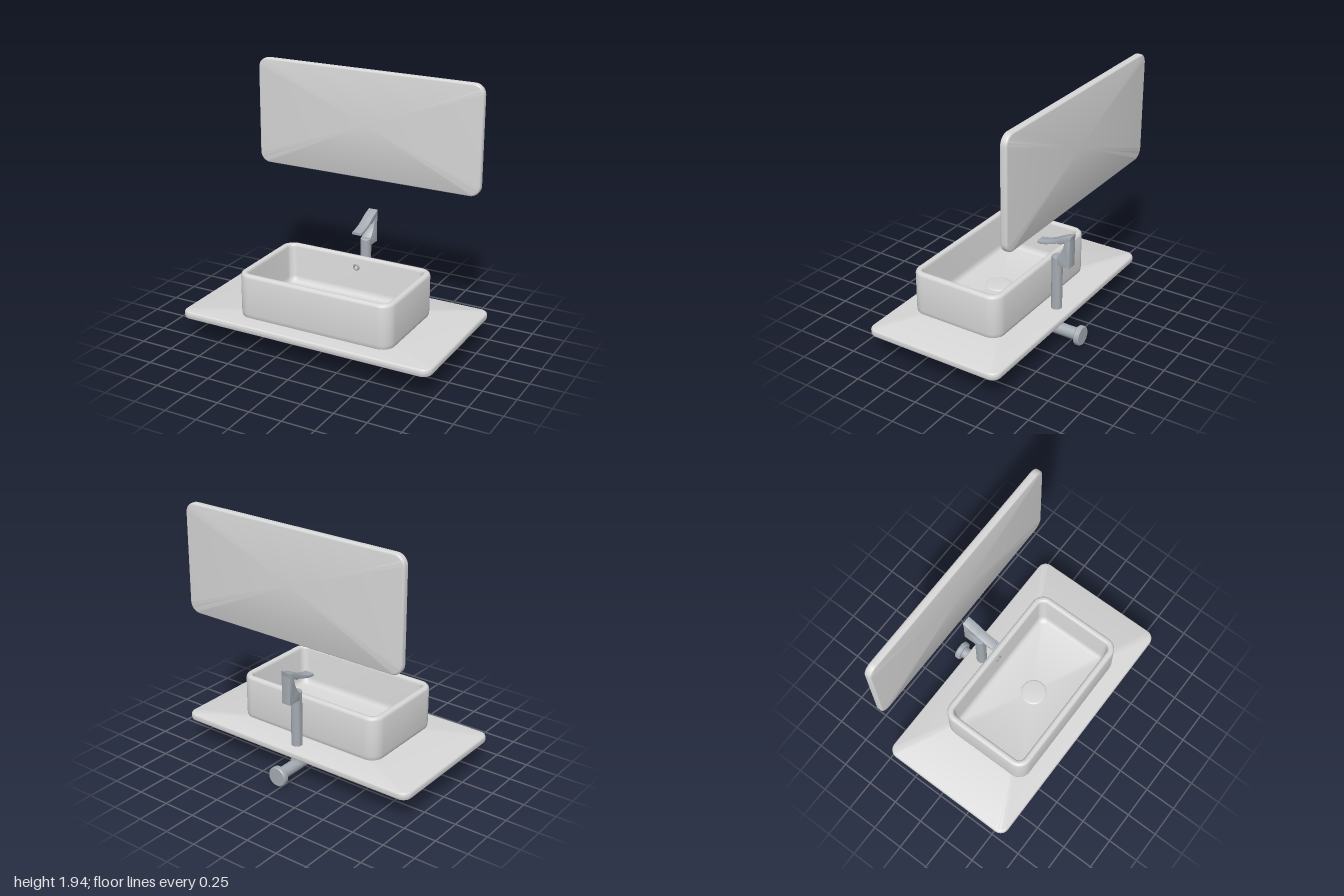
import * as THREE from 'three';
import { toCreasedNormals } from 'three/addons/utils/BufferGeometryUtils.js';

const ceramic = new THREE.MeshStandardMaterial({ color: 0xd6d6d6 });
ceramic.name = 'paleGrey';
const metal = new THREE.MeshStandardMaterial({ color: 0xa4abb2 });
metal.name = 'steelGrey';

// Points of a rounded rectangle in the xz plane
function ring([x0, x1, z0, z1, r, y]) {
  const pts = [], n = 8;
  const corners = [[x1 - r, z1 - r], [x0 + r, z1 - r], [x0 + r, z0 + r], [x1 - r, z0 + r]];
  corners.forEach(([cx, cz], q) => {
    for (let i = 0; i <= n; i++) {
      const a = (q + i / n) * Math.PI / 2;
      pts.push([cx + r * Math.cos(a), y, cz + r * Math.sin(a)]);
    }
  });
  return pts;
}

// Closed skin through a list of rounded rectangles, capped at both ends
function loft(sections) {
  const rings = sections.map(ring), n = rings[0].length;
  const pos = rings.flat(2), idx = [];
  for (let i = 0; i < rings.length - 1; i++) {
    for (let j = 0; j < n; j++) {
      const a = i * n + j, b = i * n + (j + 1) % n;
      idx.push(a, a + n, b, b, a + n, b + n);
    }
  }
  const addCap = (s, base, top) => {
    const c = pos.length / 3;
    pos.push((s[0] + s[1]) / 2, s[5], (s[2] + s[3]) / 2);
    for (let j = 0; j < n; j++) {
      const a = base + j, b = base + (j + 1) % n;
      if (top) idx.push(c, b, a); else idx.push(c, a, b);
    }
  };
  addCap(sections[0], 0, false);
  addCap(sections[sections.length - 1], (rings.length - 1) * n, true);
  const g = new THREE.BufferGeometry();
  g.setAttribute('position', new THREE.Float32BufferAttribute(pos, 3));
  g.setIndex(idx);
  return toCreasedNormals(g, 0.7);
}

// Slab with softly rounded edges
function slab(x0, x1, z0, z1, r, y0, y1, e) {
  const sec = (inset, y) => [x0 + inset, x1 - inset, z0 + inset, z1 - inset, r - inset, y];
  const s = [];
  for (let i = 0; i <= 4; i++) {
    const a = i / 4 * Math.PI / 2;
    s.push(sec(e * (1 - Math.sin(a)), y0 + e * (1 - Math.cos(a))));
  }
  for (let i = 0; i <= 4; i++) {
    const a = i / 4 * Math.PI / 2;
    s.push(sec(e * (1 - Math.cos(a)), y1 - e * (1 - Math.sin(a))));
  }
  return loft(s);
}

// Side profile in (z, y), extruded across x
function sideExtrude(shape, x0, x1) {
  const g = new THREE.ExtrudeGeometry(shape, {
    depth: x1 - x0 - 0.008, curveSegments: 10,
    bevelEnabled: true, bevelThickness: 0.004, bevelSize: 0.004, bevelOffset: -0.004, bevelSegments: 2,
  });
  g.rotateY(-Math.PI / 2);
  g.translate(x1 - 0.004, 0, 0);
  return toCreasedNormals(g, 0.6);
}

export function createModel() {
  const model = new THREE.Group();
  model.name = 'washbasinSet';
  const add = (name, geo, mat, x = 0, y = 0, z = 0) => {
    const m = new THREE.Mesh(geo, mat);
    m.name = name;
    m.position.set(x, y, z);
    model.add(m);
    return m;
  };

  // Wall mirror and counter top
  const mirror = slab(-0.95, 0.89, -1.945, -1.115, 0.08, -0.512, -0.457, 0.015);
  mirror.rotateX(Math.PI / 2);
  add('mirror', mirror, ceramic);
  add('counterTop', slab(-1, 1, -0.49, 0.605, 0.07, 0.19, 0.248, 0.018), ceramic);

  // Basin: outer wall, rolled rim, inner wall and floor
  const X0 = -0.59, X1 = 0.645, Z0 = -0.267, Z1 = 0.478;
  const profile = [ // inset, corner radius, height
    [0.012, 0.088, 0.24], [0.003, 0.097, 0.255], [0, 0.1, 0.28], [0, 0.1, 0.56],
    [0.004, 0.096, 0.573], [0.012, 0.088, 0.581], [0.022, 0.078, 0.584], [0.034, 0.066, 0.584],
    [0.043, 0.057, 0.581], [0.049, 0.052, 0.573], [0.052, 0.05, 0.56], [0.062, 0.055, 0.33],
    [0.067, 0.055, 0.305], [0.08, 0.05, 0.288], [0.1, 0.045, 0.28],
  ];
  add('basin', loft(profile.map(([i, r, y]) => [X0 + i, X1 - i, Z0 + i, Z1 - i, r, y])), ceramic);

  // Drain plug and overflow ring
  const plug = [[0, 0.012], [0.085, 0.01], [0.098, 0.005], [0.1, 0]];
  add('drainPlug', new THREE.LatheGeometry(
    plug.map(([r, y]) => new THREE.Vector2(r, y)).reverse(), 40), ceramic, 0.035, 0.28, 0.125);
  add('overflowRing', new THREE.TorusGeometry(0.02, 0.007, 10, 28), metal, 0.03, 0.5, -0.21);

  // Tap post
  const post = [[0, 0.24], [0.041, 0.24], [0.041, 0.673], [0.036, 0.68], [0, 0.68]];
  add('tapPost', toCreasedNormals(new THREE.LatheGeometry(
    post.map(([r, y]) => new THREE.Vector2(r, y)), 32), 0.6), metal, 0.025, 0, -0.375);

  // Tap body with curved front
  const body = new THREE.Shape();
  body.moveTo(-0.495, 0.618);
  body.lineTo(-0.385, 0.618);
  body.lineTo(-0.385, 0.68);
  body.quadraticCurveTo(-0.445, 0.74, -0.45, 0.835);
  body.lineTo(-0.495, 0.865);
  body.closePath();
  add('tapBody', sideExtrude(body, -0.016, 0.06), metal);

  // Swept lever above the body
  const lever = new THREE.Shape();
  lever.moveTo(-0.5, 0.87);
  lever.quadraticCurveTo(-0.44, 0.855, -0.385, 0.822);
  lever.quadraticCurveTo(-0.31, 0.778, -0.225, 0.77);
  lever.lineTo(-0.227, 0.75);
  lever.lineTo(-0.265, 0.75);
  lever.quadraticCurveTo(-0.325, 0.765, -0.385, 0.79);
  lever.lineTo(-0.415, 0.79);
  lever.lineTo(-0.495, 0.835);
  lever.closePath();
  add('tapLever', sideExtrude(lever, -0.016, 0.06), metal);

  // Waste trap and flared inlet below the tap
  const trap = [[0, 0.024], [0.06, 0.024], [0.066, 0.032], [0.066, 0.2], [0, 0.2]];
  add('wasteTrap', toCreasedNormals(new THREE.LatheGeometry(
    trap.map(([r, y]) => new THREE.Vector2(r, y)), 36), 0.6), metal, 0.033, 0, 0.16);
  const inlet = [[0.052, 0.1], [0.043, 0.135], [0.041, 0.16], [0.041, 0.2]];
  add('tapInlet', new THREE.LatheGeometry(
    inlet.map(([r, y]) => new THREE.Vector2(r, y)), 32), metal, 0.028, 0, -0.372);

  // Horizontal pipe and wall flange
  const pipe = new THREE.CylinderGeometry(0.046, 0.043, 0.72, 32);
  pipe.rotateX(-Math.PI / 2);
  add('wastePipe', pipe, metal, 0.03, 0.079, -0.21);
  const rim = [[0, -0.022], [0.068, -0.022], [0.075, -0.014], [0.075, 0.014], [0.068, 0.022], [0, 0.022]];
  const flange = toCreasedNormals(new THREE.LatheGeometry(
    rim.map(([r, y]) => new THREE.Vector2(r, y)), 40), 0.6);
  flange.rotateX(Math.PI / 2);
  add('wallFlange', flange, metal, 0.03, 0.076, -0.583);

  return model;
}
